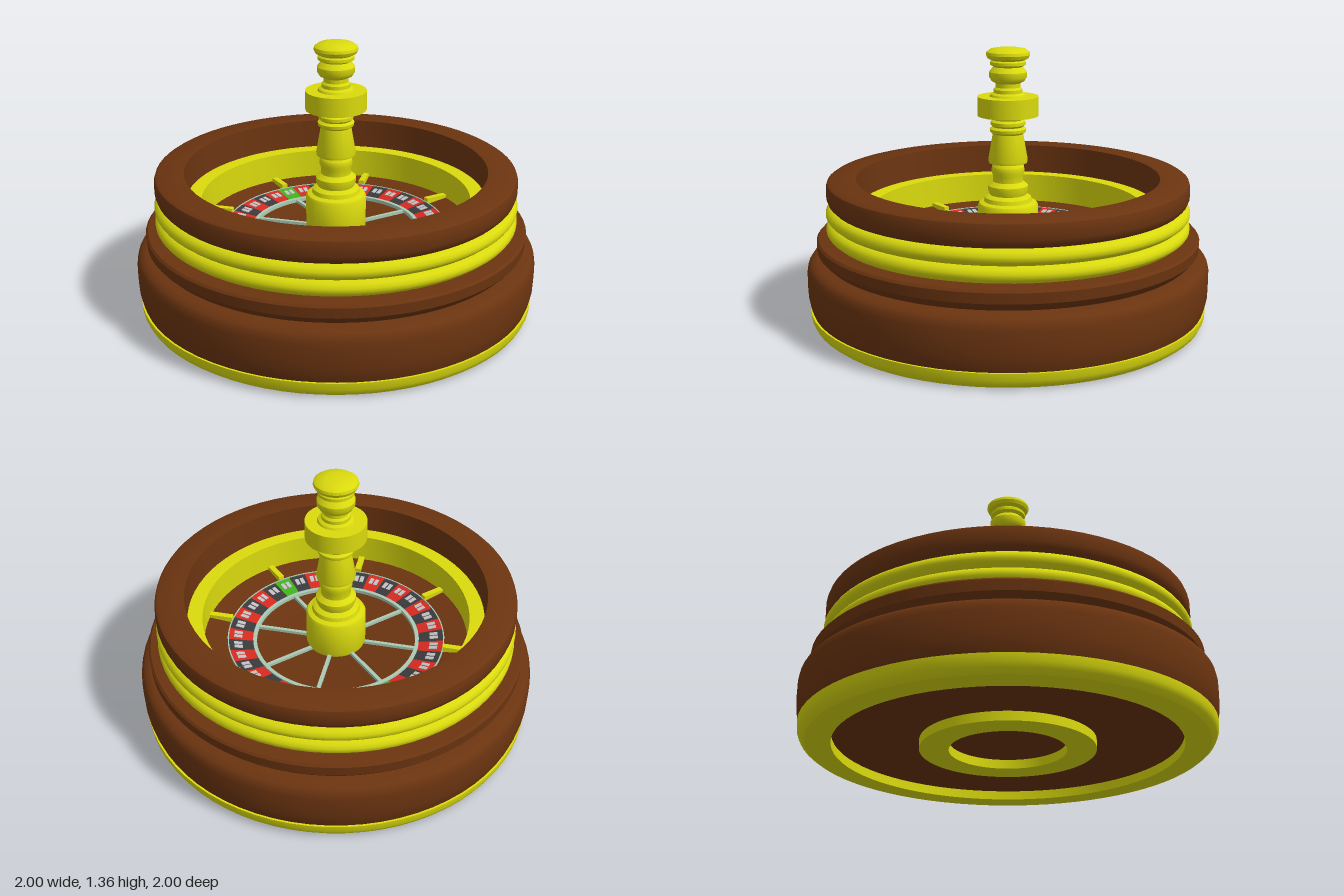
import * as THREE from 'three';
import { mergeGeometries, toCreasedNormals } from 'three/addons/utils/BufferGeometryUtils.js';

const mat = (name, color) => new THREE.MeshStandardMaterial({ name, color });

export function createModel() {
  const model = new THREE.Group();
  model.name = 'rouletteWheel';

  const wood = mat('wood', 0x6b3410);
  const gold = mat('gold', 0xdada0e);
  const red = mat('red', 0xd82a20);
  const black = mat('black', 0x3a3a3d);
  const green = mat('green', 0x40b01c);
  const mint = mat('mint', 0xa9c9b4);
  const grey = mat('grey', 0xc2c2c2);

  const add = (name, geometry, material) => {
    const mesh = new THREE.Mesh(geometry, material);
    mesh.name = name;
    model.add(mesh);
  };
  // Turned part: profile of [radius, height], counter-clockwise
  const turned = (name, profile, material, segments = 72) => {
    const geo = new THREE.LatheGeometry(profile.map(p => new THREE.Vector2(...p)), segments);
    add(name, toCreasedNormals(geo, 0.6), material);
  };
  // Ring with a rectangular section
  const ring = (name, inner, outer, y0, y1, material) => turned(name,
    [[inner, y0], [outer, y0], [outer, y1], [inner, y1], [inner, y0]], material);
  // Radial bars, evenly spaced
  const spokes = (name, r0, r1, y, width, height, material) => {
    const bars = [];
    for (let i = 0; i < 8; i++) {
      bars.push(new THREE.BoxGeometry(width, height, r1 - r0)
        .translate(0, y, (r0 + r1) / 2).rotateY(i * Math.PI / 4));
    }
    add(name, mergeGeometries(bars), material);
  };

  // Base with recessed underside
  turned('baseTrim', [[0.83, 0.045], [0.83, 0], [0.95, 0], [0.975, 0.02], [0.987, 0.045],
    [0.99, 0.08], [0.9, 0.08]], gold);
  turned('underside', [[0, 0.045], [0.84, 0.045]], wood);
  ring('foot', 0.28, 0.42, 0, 0.05, gold);

  // Outer wooden tiers
  turned('lowerBody', [[0.9, 0.08], [0.98, 0.08], [0.99, 0.11], [0.998, 0.15], [1, 0.2], [1, 0.27],
    [0.994, 0.3], [0.98, 0.32], [0.95, 0.332], [0.88, 0.335]], wood);
  turned('middleTier', [[0.88, 0.33], [0.91, 0.335], [0.935, 0.36], [0.947, 0.375], [0.95, 0.425],
    [0.94, 0.436], [0.85, 0.44]], wood);

  // Pair of rounded gold bands
  for (const y of [0.442, 0.52]) {
    turned('goldBand', [[0.84, y], [0.87, y], [0.892, y + 0.018], [0.9, y + 0.03], [0.9, y + 0.048],
      [0.89, y + 0.065], [0.87, y + 0.078], [0.84, y + 0.078]], gold);
  }

  // Upper rim and its inner wall
  turned('rim', [[0.84, 0.595], [0.87, 0.598], [0.887, 0.615], [0.896, 0.64], [0.896, 0.69],
    [0.89, 0.71], [0.875, 0.72], [0.75, 0.72], [0.745, 0.56]], wood);
  ring('ballTrack', 0.67, 0.747, 0.42, 0.57, gold);

  // Bowl floor
  turned('bowlFloor', [[0.7, 0.425], [0.55, 0.41], [0.42, 0.387], [0, 0.387]], wood);
  spokes('deflectors', 0.55, 0.675, 0.425, 0.03, 0.03, gold);

  // Numbered pockets, alternating in colour, with two green ones opposite
  const count = 38, step = Math.PI * 2 / count;
  const wedges = { red: [], black: [], green: [] }, marks = [];
  for (let i = 0; i < count; i++) {
    const phi = Math.PI - i * step;
    const half = i % 19;
    const key = half === 0 ? 'green' : (i < 19 ? half % 2 : (half + 1) % 2) ? 'red' : 'black';
    // Right side starts red at the back; left side starts black at the front
    const profile = [new THREE.Vector2(0.548, 0.417), new THREE.Vector2(0.42, 0.397)];
    wedges[key].push(new THREE.LatheGeometry(profile, 3, phi - step / 2, step));
    for (const x of [-0.014, 0.014]) {
      marks.push(new THREE.BoxGeometry(0.02, 0.004, 0.042).rotateX(-0.155)
        .translate(x, 0.411, 0.5).rotateY(phi));
    }
  }
  add('redPockets', mergeGeometries(wedges.red), red);
  add('blackPockets', mergeGeometries(wedges.black), black);
  add('greenPockets', mergeGeometries(wedges.green), green);
  add('pocketMarks', mergeGeometries(marks), grey);
  ring('pocketOuterEdge', 0.547, 0.553, 0.4, 0.42, mint);
  ring('pocketInnerRing', 0.405, 0.424, 0.385, 0.405, mint);
  spokes('innerSpokes', 0.13, 0.41, 0.393, 0.018, 0.018, mint);

  // Hub and turned spindle
  turned('hub', [[0, 0.387], [0.145, 0.387], [0.15, 0.4], [0.15, 0.57], [0.143, 0.582], [0.12, 0.59],
    [0.115, 0.61], [0.09, 0.625], [0, 0.625]], gold, 48);
  turned('spindle', [[0.09, 0.62], [0.1, 0.65], [0.1, 0.67], [0.075, 0.69], [0.075, 0.72], [0.082, 0.74],
    [0.08, 0.765], [0.068, 0.78], [0.095, 0.785], [0.098, 0.8], [0.075, 0.93], [0.088, 0.94],
    [0.09, 0.955], [0.075, 0.965], [0.085, 0.975], [0.085, 0.99], [0.07, 1.0], [0.085, 1.02]], gold, 48);
  turned('collar', [[0, 1.02], [0.15, 1.02], [0.15, 1.115], [0, 1.115]], gold, 48);
  turned('finial', [[0.09, 1.115], [0.085, 1.125], [0.07, 1.133], [0.07, 1.15], [0.06, 1.16], [0.06, 1.18],
    [0.08, 1.19], [0.092, 1.21], [0.092, 1.235], [0.08, 1.25], [0.07, 1.26], [0.088, 1.27],
    [0.088, 1.285], [0.08, 1.292], [0.1, 1.302], [0.108, 1.318], [0.105, 1.332], [0.085, 1.346],
    [0.045, 1.353], [0, 1.355]], gold, 48);

  return model;
}
